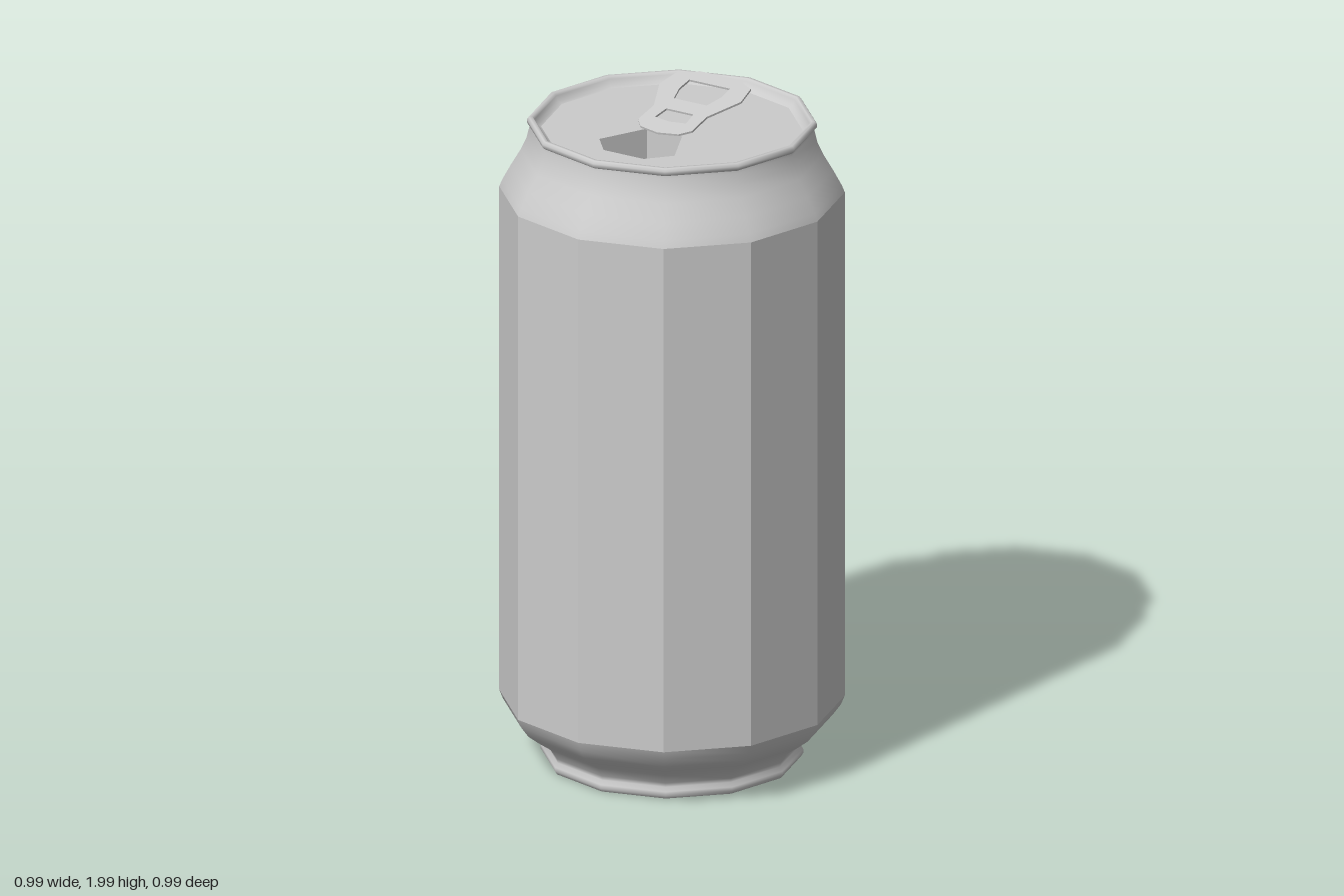
import * as THREE from 'three';

const SIDES = 12;
const LID_Y = 1.915;

const vec = ([x, y]) => new THREE.Vector2(x, y);

// Mirrors half an outline, listed as [x, z] from back to front, into a closed loop (shape y = -z)
function mirrored(half, Type = THREE.Shape) {
  const right = half.map(([x, z]) => new THREE.Vector2(x, -z));
  const left = half.filter(([x]) => x > 0).map(([x, z]) => new THREE.Vector2(-x, -z)).reverse();
  return new Type([...right, ...left]);
}

export function createModel() {
  const group = new THREE.Group();
  const smooth = new THREE.MeshStandardMaterial({ color: 0xcccccc, side: THREE.DoubleSide });
  const flat = new THREE.MeshStandardMaterial({ color: 0xcccccc, side: THREE.DoubleSide, flatShading: true });

  const add = (name, geometry, material) => {
    const mesh = new THREE.Mesh(geometry, material);
    mesh.name = name;
    group.add(mesh);
    return mesh;
  };
  const lathe = (name, profile, material) =>
    add(name, new THREE.LatheGeometry(profile.map(vec), SIDES), material);

  // Faceted wall
  lathe('body', [[0.495, 0.195], [0.495, 1.73]], flat);

  // Rounded foot and its flat underside
  lathe('foot', [
    [0.36, 0.005], [0.37, 0.008], [0.376, 0.018], [0.376, 0.03], [0.367, 0.042], [0.37, 0.055],
    [0.39, 0.085], [0.43, 0.113], [0.462, 0.138], [0.484, 0.168], [0.495, 0.195],
  ], smooth);
  const base = new THREE.CircleGeometry(0.36, SIDES).rotateX(Math.PI / 2);
  add('base', base, flat).position.y = 0.005;

  // Tapered shoulder, rolled rim and inner rim wall
  lathe('shoulder', [
    [0.495, 1.73], [0.486, 1.752], [0.462, 1.796], [0.433, 1.845],
    [0.417, 1.88], [0.409, 1.912], [0.408, 1.92],
  ], smooth);
  lathe('rim', [
    [0.408, 1.92], [0.415, 1.926], [0.416, 1.936], [0.41, 1.944], [0.4, 1.944],
    [0.394, 1.936], [0.388, 1.922], [0.375, LID_Y],
  ], smooth);

  // Lid with the drinking hole
  const mouth = [[0.06, 0.04], [0.128, 0.185], [0.068, 0.255]];
  const lid = new THREE.Shape();
  for (let i = 0; i < SIDES; i++) {
    const a = (i / SIDES) * Math.PI * 2;
    lid[i ? 'lineTo' : 'moveTo'](0.376 * Math.cos(a), 0.376 * Math.sin(a));
  }
  lid.holes.push(mirrored(mouth, THREE.Path));
  add('lid', new THREE.ShapeGeometry(lid).rotateX(-Math.PI / 2), flat).position.y = LID_Y;

  // Pocket below the hole: walls around the mouth and a floor
  const depth = 0.12;
  const loop = mirrored(mouth).getPoints();
  const walls = [];
  loop.forEach((p, i) => {
    const q = loop[(i + 1) % loop.length];
    const a = [p.x, 0, -p.y], b = [q.x, 0, -q.y];
    const c = [q.x, -depth, -q.y], d = [p.x, -depth, -p.y];
    walls.push(...a, ...b, ...c, ...a, ...c, ...d);
  });
  const wallGeometry = new THREE.BufferGeometry();
  wallGeometry.setAttribute('position', new THREE.Float32BufferAttribute(walls, 3));
  wallGeometry.computeVertexNormals();
  add('mouthWalls', wallGeometry, flat).position.y = LID_Y;
  const floor = new THREE.ShapeGeometry(mirrored(mouth)).rotateX(-Math.PI / 2);
  add('mouthFloor', floor, flat).position.y = LID_Y - depth;

  // Tilted pull tab with finger hole and rivet hole
  const tab = mirrored([
    [0.065, -0.25], [0.127, -0.22], [0.139, -0.15], [0.09, -0.045],
    [0.092, 0.035], [0.065, 0.065], [0, 0.078],
  ]);
  tab.holes.push(
    mirrored([[0.069, -0.2], [0.071, -0.15], [0.056, -0.098]], THREE.Path),
    mirrored([[0.046, -0.043], [0.053, 0.007], [0, 0.015]], THREE.Path),
  );
  const tilt = 0.216;
  const tabGeometry = new THREE.ExtrudeGeometry(tab, { depth: 0.006, bevelEnabled: false })
    .scale(1, 1 / Math.cos(tilt), 1)
    .rotateX(-Math.PI / 2 + tilt);
  add('pullTab', tabGeometry, flat).position.y = 1.939;

  return group;
}
